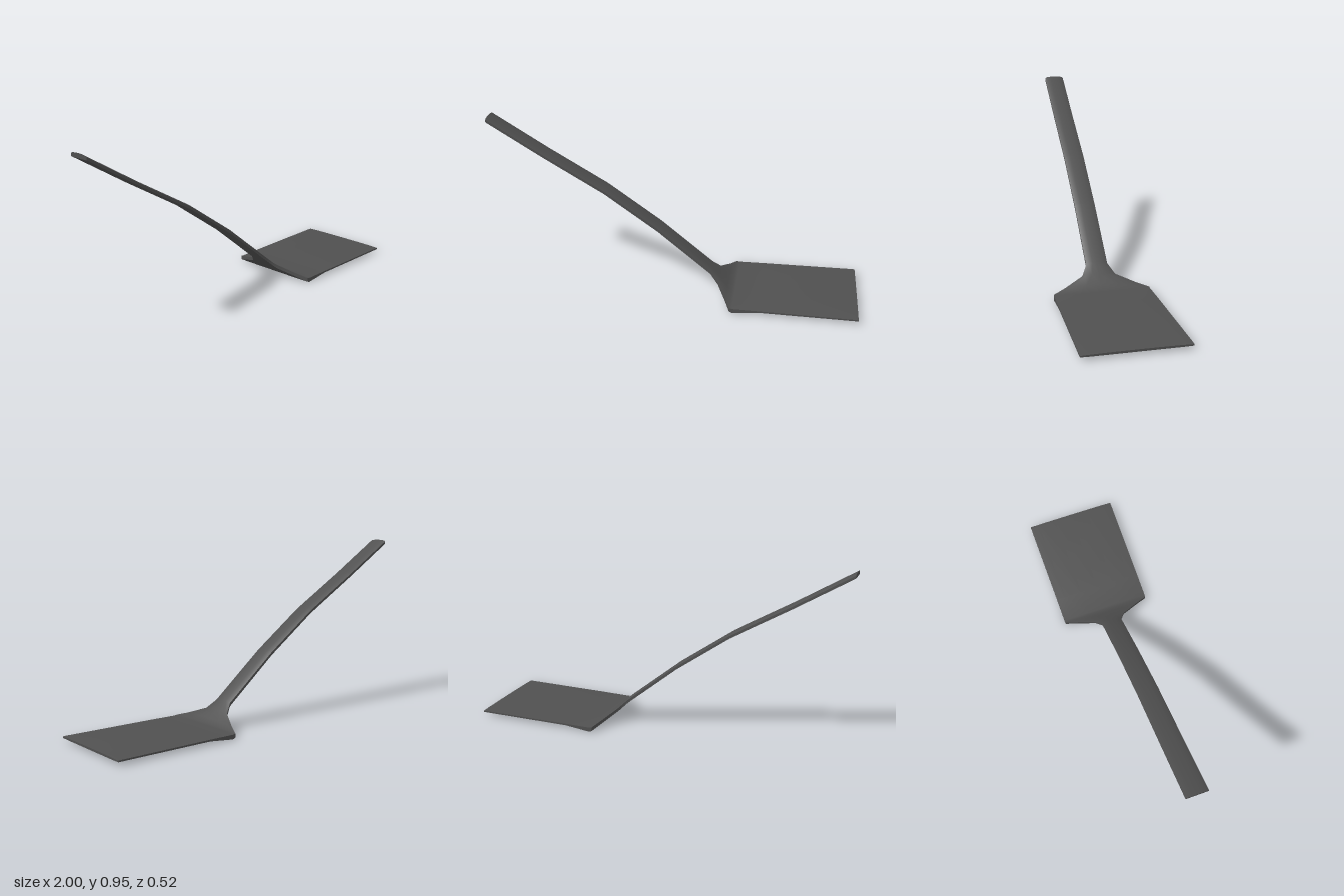
import * as THREE from 'three';
import { toCreasedNormals } from 'three/addons/utils/BufferGeometryUtils.js';

// Cross-section as [z fraction of half width, arch drop fraction]; top from +z to -z
const TOP = [[1, 1], [0.8, 0.4], [0.4, 0.08], [0, 0], [-0.4, 0.08], [-0.8, 0.4], [-1, 1]];

// Skin a row of sections [x, topY, thickness, halfWidth, archDrop] running along +x
function loft(sections) {
  const pos = [], idx = [], n = TOP.length * 2;
  for (const [x, y, t, w, drop] of sections) {
    for (const [f, d] of TOP) pos.push(x, y - d * drop, f * w);
    for (const [f, d] of [...TOP].reverse()) pos.push(x, y - t + (Math.abs(f) === 1 ? 0.001 : 0), f * w);
  }
  const last = (sections.length - 1) * n;
  for (let i = 0; i < last; i += n) {
    for (let j = 0; j < n; j++) {
      const k = (j + 1) % n;
      const a = i + j, b = i + n + j, c = i + n + k, d = i + k;
      idx.push(a, b, c, a, c, d);
    }
  }
  // End caps, as strips between top and bottom
  for (let j = 0; j < TOP.length - 1; j++) {
    const a = j, b = j + 1, c = n - 2 - j, d = n - 1 - j;
    idx.push(a, b, c, a, c, d);
    idx.push(last + a, last + c, last + b, last + a, last + d, last + c);
  }
  const g = new THREE.BufferGeometry();
  g.setAttribute('position', new THREE.Float32BufferAttribute(pos, 3));
  g.setIndex(idx);
  return toCreasedNormals(g, 0.7);
}

export function createModel() {
  const group = new THREE.Group();
  group.name = 'spatula';
  const material = new THREE.MeshStandardMaterial({ color: 0x505050 });

  // Long, gently bowed handle, flared neck and flat blade in one continuous skin
  const body = new THREE.Mesh(loft([
    [-1.0, 0.951, 0.024, 0.056, 0.009],
    [-0.7, 0.767, 0.024, 0.056, 0.009],
    [-0.38, 0.58, 0.025, 0.056, 0.009],
    [-0.09, 0.375, 0.026, 0.056, 0.009],
    [0.2, 0.138, 0.027, 0.057, 0.009],
    [0.245, 0.093, 0.027, 0.088, 0.008],
    [0.295, 0.054, 0.027, 0.19, 0.007],
    [0.322, 0.033, 0.027, 0.253, 0.005],
    [0.338, 0.03, 0.03, 0.254, 0.005],
    [0.48, 0.03, 0.014, 0.256, 0.004],
    [0.985, 0.03, 0.013, 0.262, 0.004],
    [1.0, 0.028, 0.011, 0.262, 0.003],
  ]), material);
  body.name = 'handleAndBlade';
  group.add(body);
  return group;
}
